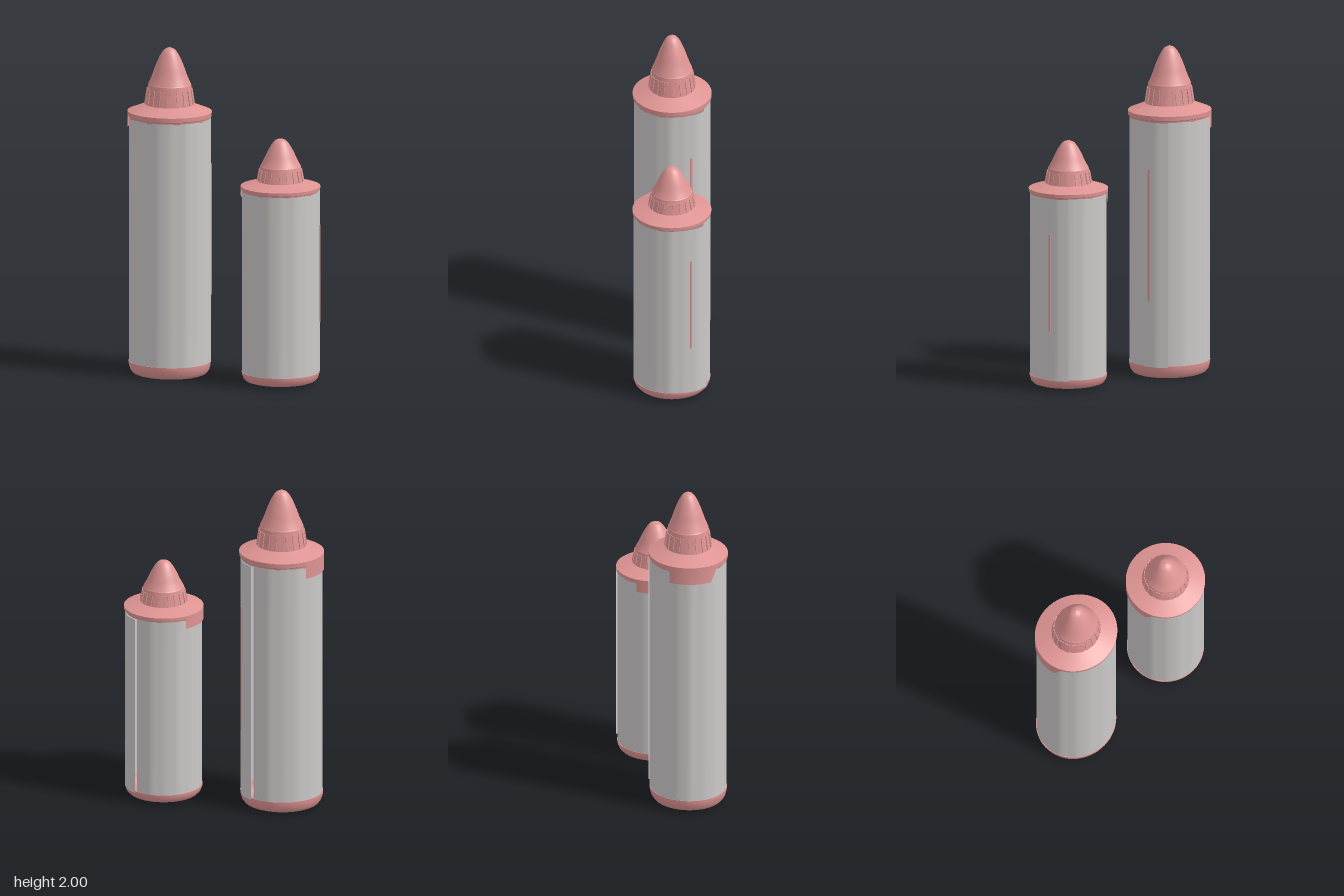
import * as THREE from 'three';
import { mergeGeometries } from 'three/addons/utils/BufferGeometryUtils.js';

const pink = new THREE.MeshStandardMaterial({ color: 0xde9493, side: THREE.DoubleSide });
pink.name = 'pink plastic';
const silver = new THREE.MeshStandardMaterial({ color: 0xcbc9c8, side: THREE.DoubleSide });
silver.name = 'silver foil';

const rad = THREE.MathUtils.degToRad;
const BODY_R = 0.228;

// Each piece is a smooth profile; edges between pieces stay sharp
function lathe(pieces, segments = 64) {
  return mergeGeometries(pieces.map(p =>
    new THREE.LatheGeometry(p.map(([r, y]) => new THREE.Vector2(r, y)), segments)));
}

function add(parent, name, geometry, material) {
  const mesh = new THREE.Mesh(geometry, material);
  mesh.name = name;
  parent.add(mesh);
  return mesh;
}

// Radius of the rolled sheet: light ripples, and a flap lifting off at the overlap
const SHEET_START = rad(147);
function sheetRadius(t) {
  const lift = Math.max(0, (t - rad(461)) / rad(46));
  const ripple = 0.0016 * Math.sin(9 * t) + 0.001 * Math.sin(17 * t + 1);
  return BODY_R + ripple + 0.02 * Math.min(1, lift);
}

function sheetGeometry(y0, y1) {
  const length = rad(360);
  const geo = new THREE.CylinderGeometry(1, 1, y1 - y0, 120, 6, true, SHEET_START, length);
  geo.translate(0, (y0 + y1) / 2, 0);
  const pos = geo.attributes.position, uv = geo.attributes.uv;
  for (let i = 0; i < pos.count; i++) {
    const t = SHEET_START + uv.getX(i) * length;
    const r = sheetRadius(t);
    pos.setXYZ(i, Math.sin(t) * r, pos.getY(i), Math.cos(t) * r);
  }
  geo.computeVertexNormals();
  return geo;
}

// Curved tab hanging from the collar, with a slanted front end
function tabGeometry() {
  const start = rad(225), end = rad(302), h = 0.105;
  const geo = new THREE.CylinderGeometry(0.237, 0.237, h, 28, 2, true, start, end - start);
  const pos = geo.attributes.position, uv = geo.attributes.uv;
  for (let i = 0; i < pos.count; i++) {
    const u = uv.getX(i), down = 1 - uv.getY(i);
    const t = start + u * (end - start - rad(14) * down);
    pos.setXYZ(i, Math.sin(t) * 0.237, pos.getY(i) + 1.555, Math.cos(t) * 0.237);
  }
  geo.computeVertexNormals();
  return geo;
}

function bottle(name) {
  const g = new THREE.Group();
  g.name = name;

  // Rounded foot
  add(g, 'foot', lathe([
    [[0, 0.002], [0.19, 0.002]],
    [[0.19, 0.002], [0.208, 0.01], [0.222, 0.03], [0.23, 0.06], [0.231, 0.08]],
    [[0.231, 0.08], [0.2, 0.08]],
  ]), pink);

  // Rolled foil body
  add(g, 'body', sheetGeometry(0.075, 1.572), silver);

  // Narrow strip on the overlap
  const t = rad(119 + 360), r = sheetRadius(t) + 0.002;
  const strip = add(g, 'seamStrip', new THREE.BoxGeometry(0.012, 0.8, 0.005), pink);
  strip.position.set(Math.sin(t) * r, 0.88, Math.cos(t) * r);
  strip.rotation.y = t;

  // Stepped collar
  add(g, 'collar', lathe([
    [[0.18, 1.565], [0.226, 1.565]],
    [[0.226, 1.565], [0.229, 1.58]],
    [[0.229, 1.58], [0.236, 1.584]],
    [[0.236, 1.584], [0.237, 1.61]],
    [[0.237, 1.61], [0.138, 1.652]],
  ]), pink);
  add(g, 'collarTab', tabGeometry(), pink);

  // Grip ring with ribs
  add(g, 'gripRing', lathe([
    [[0.138, 1.65], [0.136, 1.665]],
    [[0.136, 1.665], [0.121, 1.772]],
    [[0.121, 1.772], [0.116, 1.78]],
  ]), pink);
  const ribs = new THREE.Group();
  ribs.name = 'gripRibs';
  const count = 20;
  for (let i = 0; i < count; i++) {
    const a = (i + 0.5) / count * Math.PI * 2;
    const rib = new THREE.BoxGeometry(0.03, 0.092, 0.012);
    rib.rotateX(-0.14);
    rib.translate(0, 1.702, 0.129);
    rib.rotateY(a);
    add(ribs, 'rib', rib, pink);
  }
  g.add(ribs);

  // Domed nozzle cap
  const dome = new THREE.SplineCurve([
    [0.119, 1.778], [0.1, 1.825], [0.078, 1.89], [0.053, 1.95], [0.03, 1.985], [0, 2],
  ].map(([x, y]) => new THREE.Vector2(x, y))).getPoints(24);
  dome.forEach(p => { p.x = Math.max(0, p.x); p.y = Math.min(2, p.y); });
  add(g, 'nozzleCap', new THREE.LatheGeometry(dome, 64), pink);
  return g;
}

export function createModel() {
  const model = new THREE.Group();
  model.name = 'bottlePair';

  const tall = bottle('tallBottle');
  tall.position.set(-0.355, 0, 0);
  tall.scale.set(1.08, 1, 1);

  const short = bottle('shortBottle');
  short.position.set(0.366, 0.013, 0);
  short.scale.set(1.01, 0.743, 1);

  model.add(tall, short);
  return model;
}
